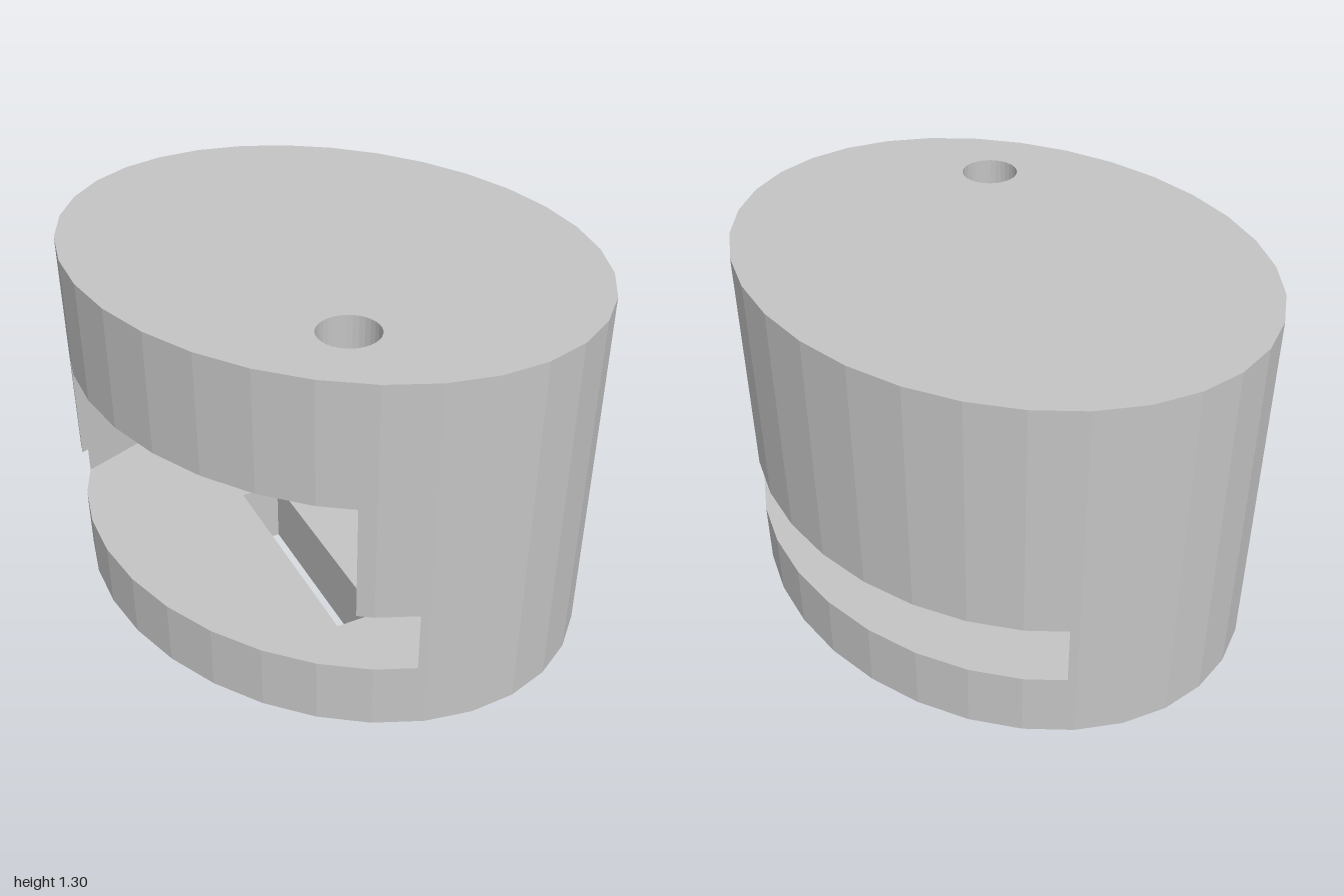
import * as THREE from 'three';

const grey = new THREE.MeshStandardMaterial({ color: 0xc4c4c4 });
grey.name = 'plain grey';

// 32-sided oval footprint; plan coordinates are (x, -z)
const oval = Array.from({ length: 32 }, (_, i) => {
  const a = (i / 32) * Math.PI * 2;
  return new THREE.Vector2(0.8 * Math.cos(a), Math.sin(a));
});

// Keep the part of a polygon where nx * x + ny * y >= c
function clip(points, nx, ny, c) {
  const out = [];
  points.forEach((p, i) => {
    const q = points[(i + 1) % points.length];
    const dp = nx * p.x + ny * p.y - c;
    const dq = nx * q.x + ny * q.y - c;
    if (dp >= 0) out.push(p);
    if (dp * dq < 0) out.push(p.clone().lerp(q, dp / (dp - dq)));
  });
  return out;
}

function circle(x, z, r) {
  return new THREE.Path().absarc(x, -z, r, 0, Math.PI * 2, true);
}

// Vertical slab of a footprint between two heights
function layer(name, points, y0, y1, holes = []) {
  const shape = new THREE.Shape(points);
  shape.holes.push(...holes);
  const geo = new THREE.ExtrudeGeometry(shape, {
    depth: y1 - y0, bevelEnabled: false, curveSegments: 16,
  });
  geo.rotateX(-Math.PI / 2).translate(0, y0, 0);
  const mesh = new THREE.Mesh(geo, grey);
  mesh.name = name;
  return mesh;
}

export function createModel() {
  const model = new THREE.Group();
  model.name = 'slottedOvalBody';

  // Base with a slanted rectangular slot through it
  const dir = new THREE.Vector2(0.38, 0.925);
  const side = new THREE.Vector2(-dir.y, dir.x);
  const slot = [[-1, -1], [-1, 1], [1, 1], [1, -1]].map(([l, w]) =>
    new THREE.Vector2(-0.273, -0.15).addScaledVector(dir, l * 0.4).addScaledVector(side, w * 0.071));
  model.add(layer('base', oval, 0, 0.24, [new THREE.Path(slot)]));

  // End walls beside the low through slot and the chamber above it
  for (const s of [1, -1]) {
    const end = s > 0 ? 'back' : 'front';
    model.add(layer(end + 'SlotWall', clip(oval, 0, s, 0.81), 0.24, 0.46));
    model.add(layer(end + 'ChamberWall', clip(oval, 0, s, 0.66), 0.46, 0.87));
  }

  // Closed side of the chamber; the other side is open
  const closed = clip(clip(clip(oval, 1, 0, 0.57), 0, 1, -0.66), 0, -1, -0.66);
  model.add(layer('leftChamberWall', closed, 0.46, 0.87));

  // Roof with a round through hole and a shallow recess underneath
  const hole = () => circle(-0.4, 0.45, 0.1);
  model.add(layer('roofUnderside', oval, 0.87, 0.92, [hole(), circle(0, 0, 0.19)]));
  model.add(layer('roof', oval, 0.92, 1.3, [hole()]));

  return model;
}
